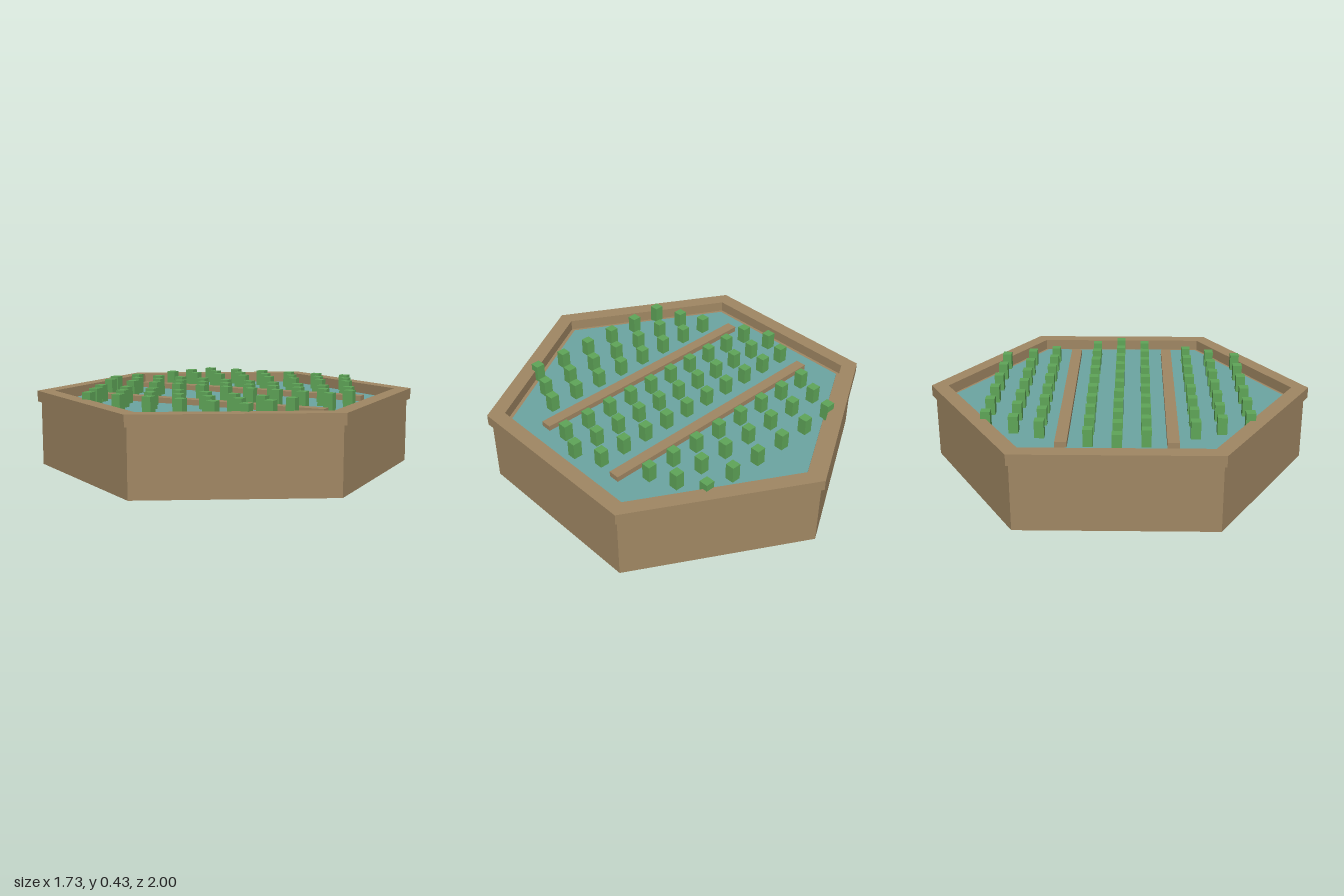
import * as THREE from 'three';

const wood = new THREE.MeshStandardMaterial({ color: 0xa08763, flatShading: true });
const water = new THREE.MeshStandardMaterial({ color: 0x6ca5a2, flatShading: true });
const leaf = new THREE.MeshStandardMaterial({ color: 0x5fa558, flatShading: true });

const WATER_Y = 0.345;

// Hexagon corners with points at front and back
function hexPoints(r) {
  return Array.from({ length: 6 }, (_, i) => {
    const a = Math.PI / 2 + (i * Math.PI) / 3;
    return new THREE.Vector2(r * Math.cos(a), r * Math.sin(a));
  });
}

function add(parent, name, geometry, material, x = 0, y = 0, z = 0) {
  const mesh = new THREE.Mesh(geometry, material);
  mesh.name = name;
  mesh.position.set(x, y, z);
  parent.add(mesh);
  return mesh;
}

export function createModel() {
  const model = new THREE.Group();
  model.name = 'hexagonalPlantPool';

  // Basin body
  add(model, 'basin', new THREE.CylinderGeometry(0.98, 0.98, 0.34, 6), wood, 0, 0.17, 0);

  // Water sheet
  add(model, 'water', new THREE.CylinderGeometry(0.885, 0.885, 0.01, 6), water, 0, WATER_Y - 0.005, 0);

  // Overhanging rim with an open centre
  const rimShape = new THREE.Shape(hexPoints(1));
  rimShape.holes.push(new THREE.Path(hexPoints(0.91)));
  const rim = new THREE.ExtrudeGeometry(rimShape, { depth: 0.057, bevelEnabled: false });
  rim.rotateX(-Math.PI / 2);
  add(model, 'rim', rim, wood, 0, 0.339, 0);

  // Two divider beams across the water
  const beam = new THREE.BoxGeometry(1.35, 0.03, 0.058);
  for (const z of [-0.265, 0.265]) add(model, 'dividerBeam', beam, wood, 0, WATER_Y + 0.013, z);

  // Rows of plants: [distance from centre, count, half width]
  const rows = [[0, 11, 0.697], [0.138, 10, 0.643], [0.375, 8, 0.545], [0.505, 7, 0.49], [0.648, 6, 0.433]];
  const plant = new THREE.BoxGeometry(0.048, 0.092, 0.048);
  const plants = new THREE.Group();
  plants.name = 'plants';
  for (const [dist, count, half] of rows) {
    for (const z of dist ? [-dist, dist] : [0]) {
      for (let i = 0; i < count; i++) {
        add(plants, 'plant', plant, leaf, -half + (2 * half * i) / (count - 1), 0.386, z);
      }
    }
  }
  model.add(plants);
  return model;
}
